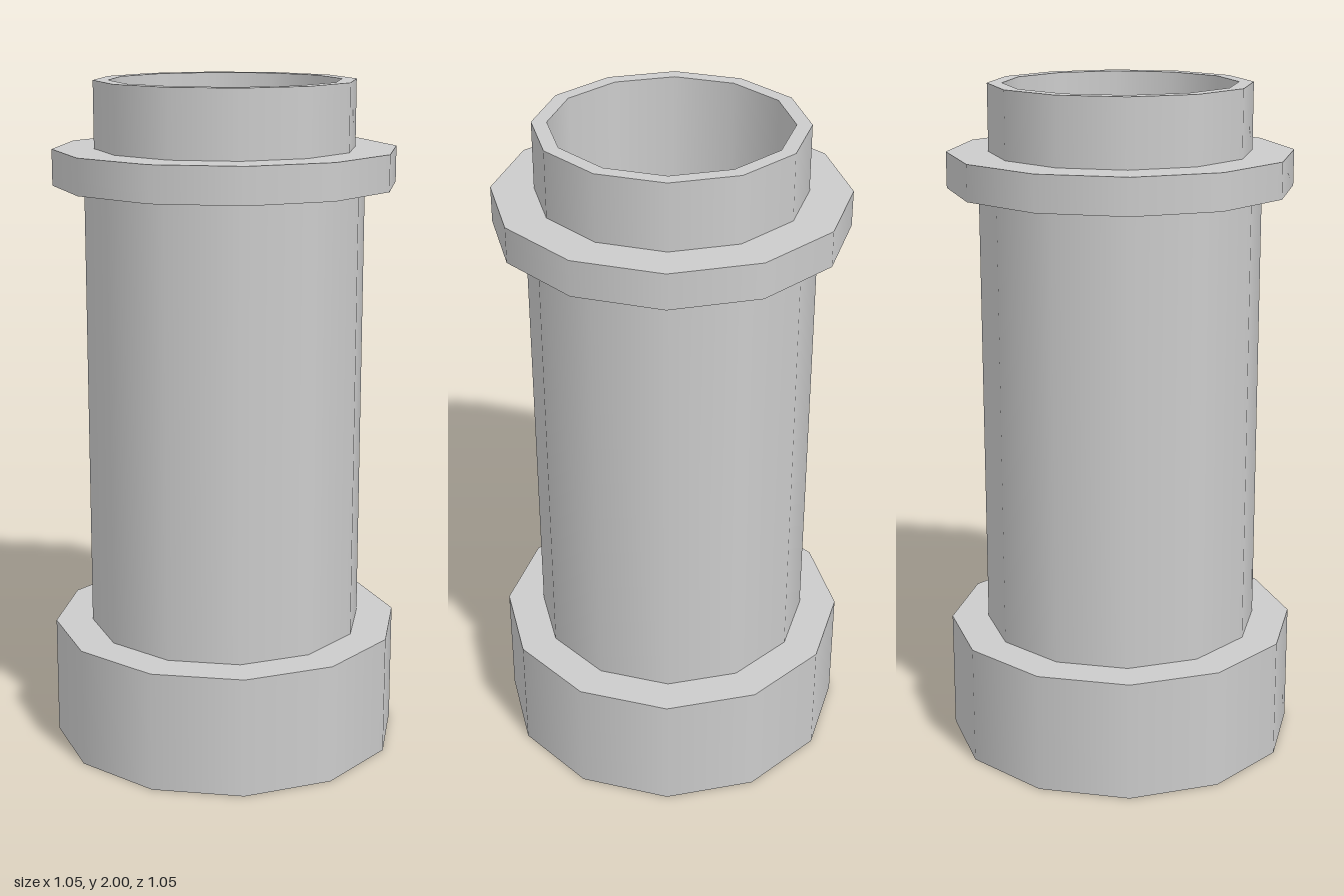
import * as THREE from 'three';
import { mergeGeometries } from 'three/addons/utils/BufferGeometryUtils.js';

const SIDES = 12;
const material = new THREE.MeshStandardMaterial({ color: 0xcccccc, side: THREE.DoubleSide });

// Revolves each profile segment on its own: smooth around, sharp between segments.
function turned(name, profile) {
  const bands = [];
  for (let i = 0; i < profile.length - 1; i++) {
    const points = [profile[i], profile[i + 1]].map(([r, y]) => new THREE.Vector2(r, y));
    bands.push(new THREE.LatheGeometry(points, SIDES));
  }
  const mesh = new THREE.Mesh(mergeGeometries(bands), material);
  mesh.name = name;
  return mesh;
}

export function createModel() {
  const group = new THREE.Group();
  group.name = 'pipeFitting';

  const bore = 0.34, neck = 0.383, body = 0.413, flange = 0.505, base = 0.525;

  group.add(
    // Skirt around the foot, open underneath
    turned('baseCollar', [[base, 0], [base, 0.36], [body, 0.36]]),
    // Main tube
    turned('body', [[body, 0.36], [body, 1.7]]),
    // Ring near the top
    turned('flange', [[body, 1.7], [flange, 1.7], [flange, 1.805], [neck, 1.805]]),
    // Upper spigot with its rim
    turned('neck', [[neck, 1.805], [neck, 2], [bore, 2]]),
    // Inner wall running the full height
    turned('bore', [[bore, 2], [bore, 0]]),
  );
  return group;
}
